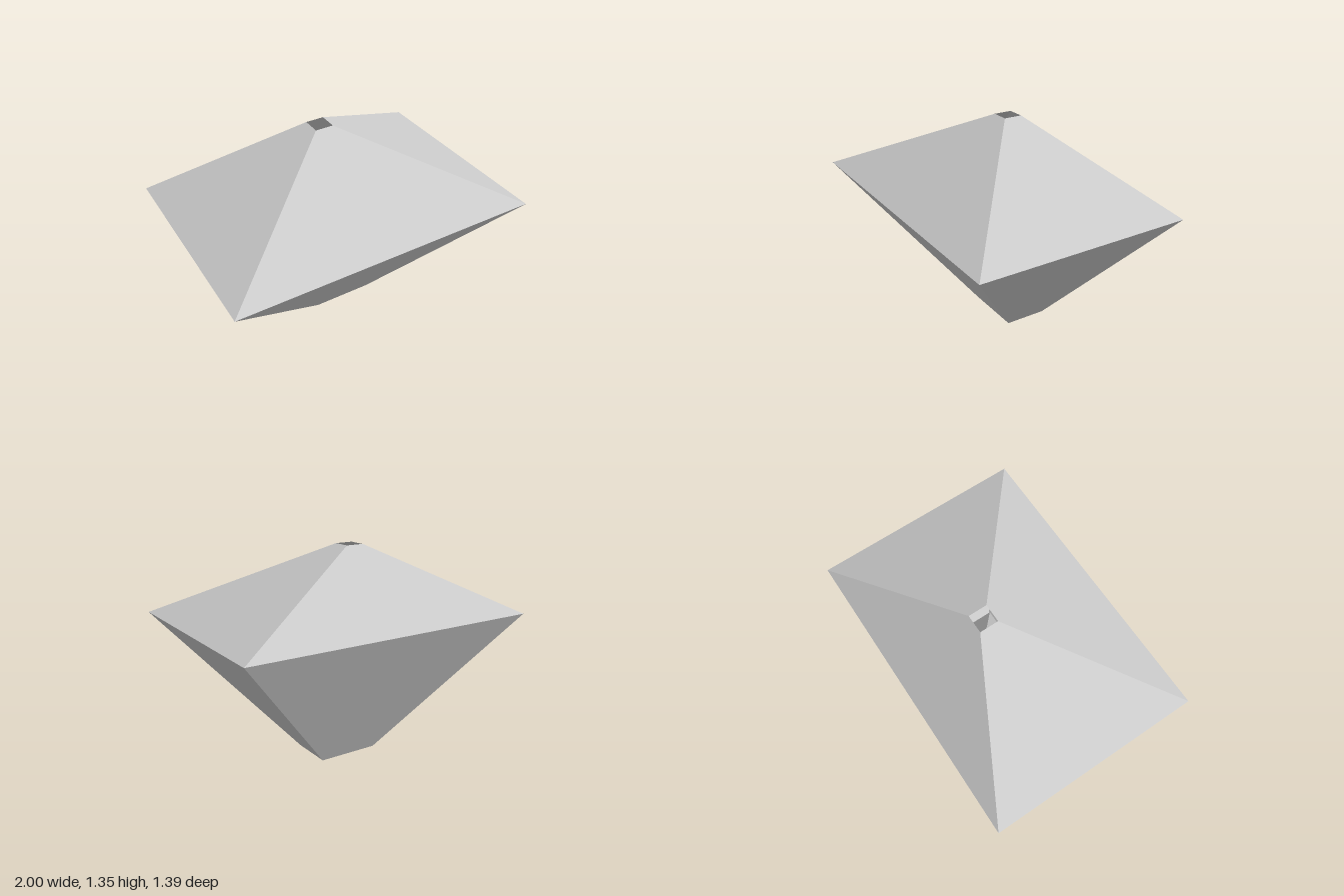
import * as THREE from 'three';

const material = new THREE.MeshStandardMaterial({ color: 0xcccccc, flatShading: true, side: THREE.DoubleSide });

// Faceted body skinned over rectangular sections [y, x0, x1, z0, z1], bottom to top
function facetedBody(name, sections, closedTop) {
  const rings = sections.map(([y, x0, x1, z0, z1]) => [
    [x0, y, z1], [x1, y, z1], [x1, y, z0], [x0, y, z0],
  ]);
  const positions = [];
  const quad = (a, b, c, d) => positions.push(...a, ...b, ...c, ...a, ...c, ...d);

  for (let r = 0; r < rings.length - 1; r++) {
    for (let i = 0; i < 4; i++) {
      const j = (i + 1) % 4;
      quad(rings[r][i], rings[r][j], rings[r + 1][j], rings[r + 1][i]);
    }
  }
  quad(...[...rings[0]].reverse());
  if (closedTop) quad(...rings[rings.length - 1]);

  const geometry = new THREE.BufferGeometry();
  geometry.setAttribute('position', new THREE.Float32BufferAttribute(positions, 3));
  geometry.computeVertexNormals();
  const mesh = new THREE.Mesh(geometry, material);
  mesh.name = name;
  return mesh;
}

export function createModel() {
  const group = new THREE.Group();
  group.name = 'facetedVessel';

  // Thin outer hull with a small open mouth at the top
  group.add(facetedBody('outerHull', [
    [0, -0.135, 0.26, -0.25, 0.025],
    [0.88, -1, 1, -0.695, 0.695],
    [1.345, -0.075, 0.043, -0.195, -0.075],
  ], false));

  // Slender core inside, seen through the mouth
  group.add(facetedBody('innerCore', [
    [0, -0.016, 0.1, -0.11, -0.03],
    [0.55, -0.3, 0.28, -0.31, 0.09],
    [1.0, -0.027, 0.005, -0.16, -0.12],
  ], true));

  return group;
}
